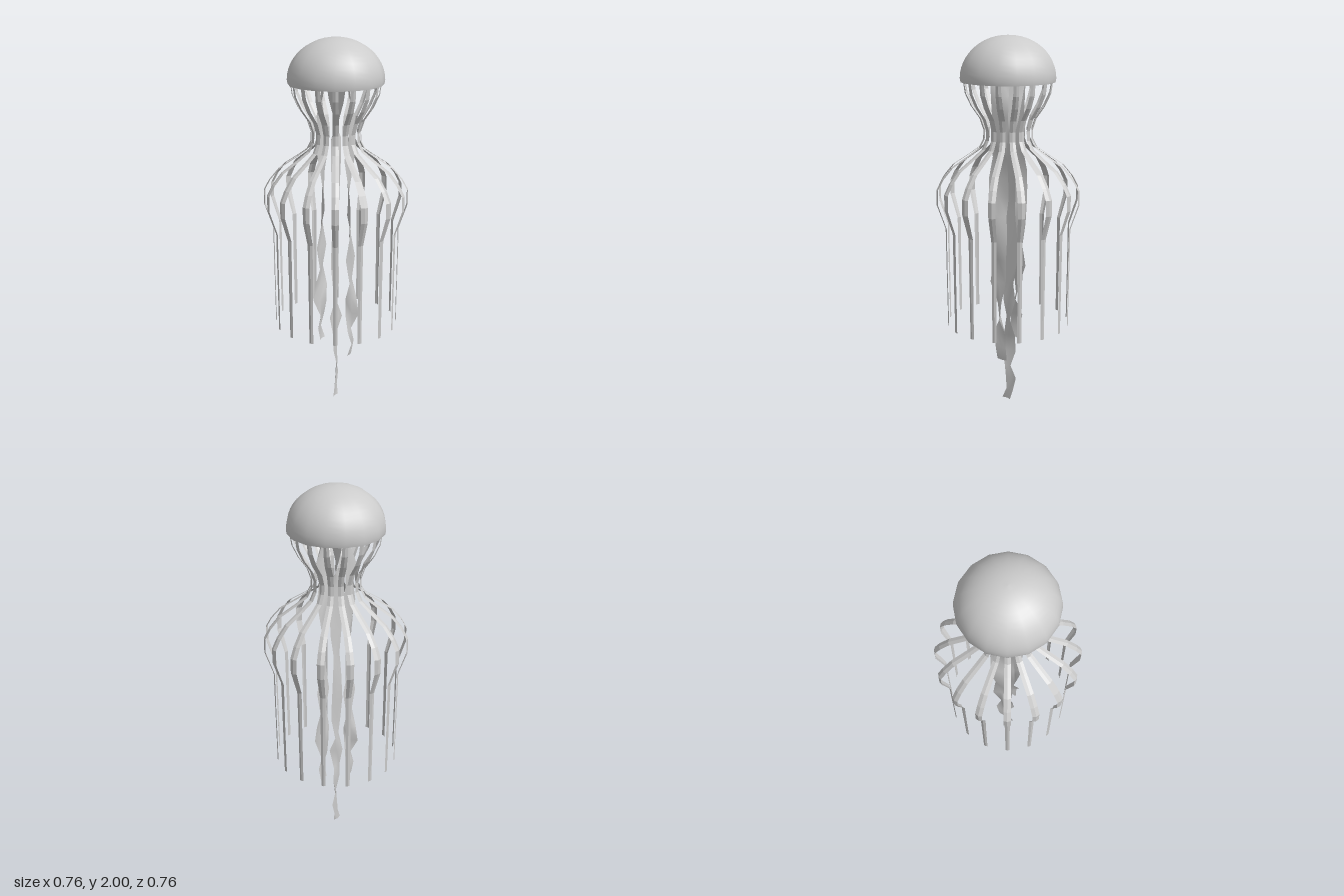
import * as THREE from 'three';

const smooth = new THREE.MeshStandardMaterial({ color: 0xcccccc, side: THREE.DoubleSide });
const flat = new THREE.MeshStandardMaterial({ color: 0xcccccc, side: THREE.DoubleSide, flatShading: true });

// Ribbon surface through rows of three points: edge, ridge, edge
function ribbon(rows, material) {
  const index = [];
  for (let i = 0; i < rows.length - 1; i++) {
    for (let j = 0; j < 2; j++) {
      const a = i * 3 + j, b = a + 3;
      index.push(a, b, a + 1, a + 1, b, b + 1);
    }
  }
  const geo = new THREE.BufferGeometry();
  geo.setAttribute('position', new THREE.Float32BufferAttribute(rows.flat(2), 3));
  geo.setIndex(index);
  geo.computeVertexNormals();
  return new THREE.Mesh(geo, material);
}

// Tentacle path: radius, height, half width
const TENTACLE = [
  [0.235, 1.78, 0.013], [0.225, 1.71, 0.015], [0.195, 1.645, 0.016], [0.15, 1.58, 0.016],
  [0.13, 1.52, 0.015], [0.132, 1.47, 0.015], [0.155, 1.425, 0.016], [0.21, 1.385, 0.017],
  [0.3, 1.325, 0.018], [0.35, 1.265, 0.019], [0.38, 1.21, 0.019], [0.38, 1.13, 0.018],
  [0.335, 1.0, 0.014], [0.333, 0.75, 0.012], [0.33, 0.46, 0.011],
];

function tentacle() {
  return ribbon(TENTACLE.map(([r, y, w]) => [
    [r - w * 0.3, y, w], [r, y, 0], [r - w * 0.3, y, -w],
  ]), flat);
}

// Arm sections: height, centre x, centre z, half width along x, half width along z
const SIDE_ARM = [
  [1.8, -0.06, 0.02, 0.04, 0.03], [1.7, -0.07, 0.03, 0.035, 0.03], [1.6, -0.075, 0.04, 0.02, 0.045],
  [1.5, -0.075, 0.03, 0.025, 0.04], [1.4, -0.07, 0.03, 0.012, 0.05], [1.3, -0.075, 0.025, 0.03, 0.045],
  [1.2, -0.075, 0.025, 0.04, 0.035], [1.1, -0.077, 0.02, 0.038, 0.025], [1.0, -0.078, 0.03, 0.03, 0.035],
  [0.88, -0.075, 0.035, 0.01, 0.045], [0.76, -0.083, 0.03, 0.026, 0.035], [0.66, -0.08, 0.035, -0.008, 0.035],
  [0.57, -0.08, 0.045, -0.022, 0.03], [0.48, -0.075, 0.03, 0.018, 0.03], [0.41, -0.08, 0.05, 0.016, 0.025],
  [0.34, -0.065, 0.04, 0.012, 0.028],
];
const CENTRE_ARM = [
  [1.8, 0, 0, 0.1, 0.02], [1.68, 0, 0, 0.075, 0.02], [1.57, 0, 0, 0.045, 0.03],
  [1.48, 0, 0, 0.008, 0.045], [1.35, 0, 0, 0.014, 0.05], [1.2, 0, 0, 0.018, 0.045],
  [1.08, -0.005, 0, 0.018, 0.03], [0.95, -0.01, 0, 0.02, 0.04], [0.8, -0.01, 0, 0.016, 0.045],
  [0.68, 0, 0, 0.01, 0.035], [0.58, -0.008, 0, 0.022, 0.025], [0.48, 0, 0, -0.012, 0.035],
  [0.38, -0.008, 0, 0.016, 0.03], [0.29, -0.005, 0, 0.022, 0.035], [0.2, 0.003, 0, 0.012, 0.01],
  [0.13, -0.008, -0.015, 0.016, 0.026], [0.06, -0.008, -0.005, 0.01, 0.018], [0, 0.007, 0.01, 0.008, 0.026],
];

// Ruffled arm, with the ridge swinging to alternate sides and the bottom at a chosen height
function arm(sections, bottom) {
  const low = sections[sections.length - 1][0];
  return ribbon(sections.map(([h, x, z, wx, wz], i) => {
    const y = 1.8 - (1.8 - h) * (1.8 - bottom) / (1.8 - low);
    const len = Math.hypot(wx, wz), bend = i % 2 ? 0.008 : -0.006;
    return [
      [x + wx, y, z + wz],
      [x - wz / len * bend, y, z + wx / len * bend],
      [x - wx, y, z - wz],
    ];
  }), smooth);
}

export function createModel() {
  const model = new THREE.Group();
  model.name = 'jellyfish';

  // Hollow domed bell with a slightly tucked rim
  const profile = [new THREE.Vector2(0.246, 1.765)];
  for (let i = 0; i <= 12; i++) {
    const a = (i / 12) * Math.PI / 2;
    profile.push(new THREE.Vector2(Math.max(0.25 * Math.cos(a), 0), 1.785 + 0.215 * Math.sin(a)));
  }
  const bell = new THREE.Mesh(new THREE.LatheGeometry(profile, 16), smooth);
  bell.name = 'bell';
  model.add(bell);

  // Ring of sixteen tentacles
  const ring = new THREE.Group();
  ring.name = 'tentacles';
  for (let i = 0; i < 16; i++) {
    const t = tentacle();
    t.name = 'tentacle';
    t.rotation.y = i * Math.PI / 8;
    ring.add(t);
  }
  model.add(ring);

  // Three ruffled arms under the bell
  const right = arm(SIDE_ARM, 0.34);
  right.name = 'rightArm';
  const left = arm(SIDE_ARM, 0.265);
  left.name = 'leftArm';
  left.rotation.y = Math.PI;
  const centre = arm(CENTRE_ARM, 0);
  centre.name = 'centreArm';
  model.add(right, left, centre);

  return model;
}
